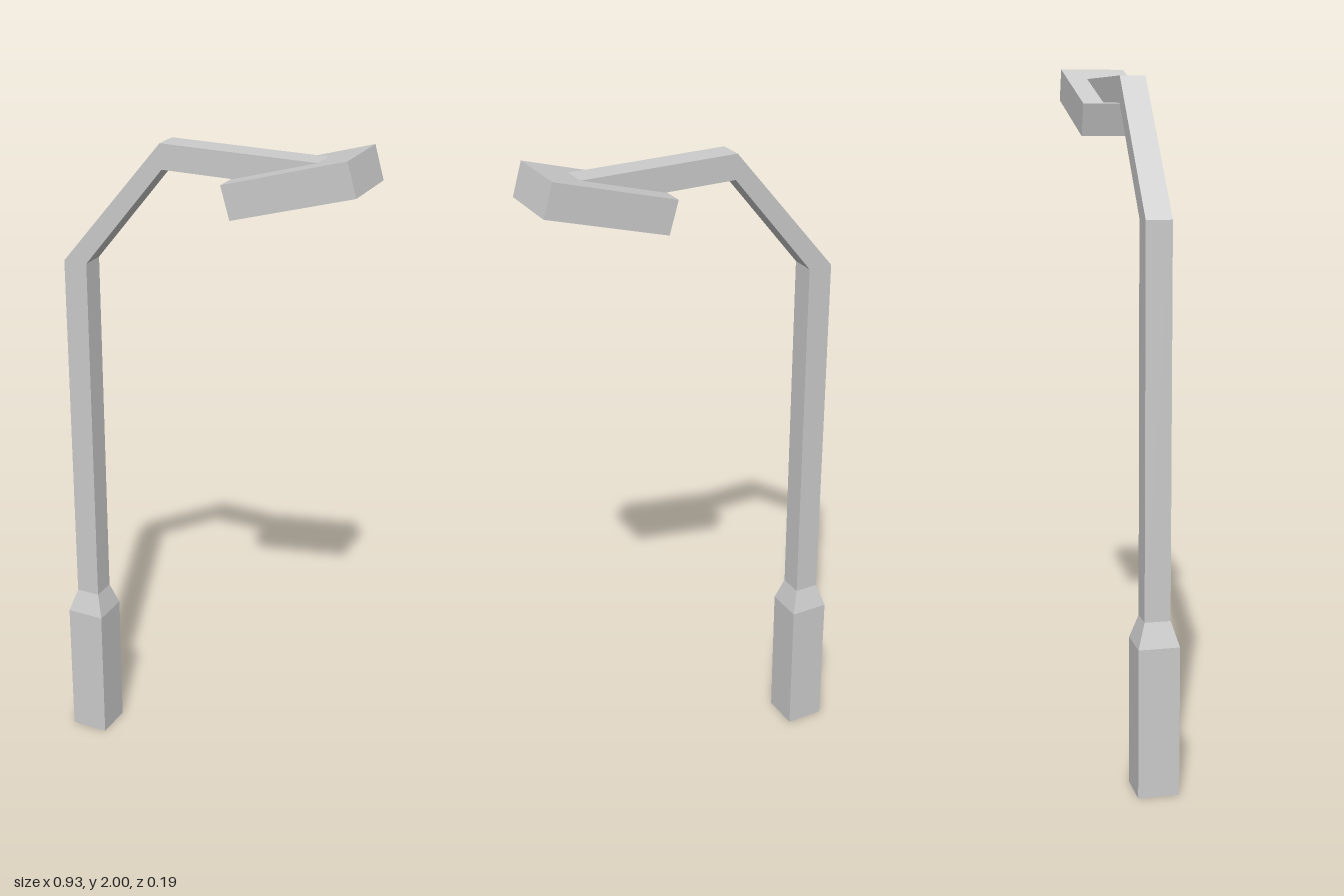
import * as THREE from 'three';

export function createModel() {
  const model = new THREE.Group();
  const material = new THREE.MeshStandardMaterial({
    color: 0xcccccc, flatShading: true, side: THREE.DoubleSide,
  });
  const poleX = -0.409;
  const poleHalf = 0.0365;
  const baseHalf = 0.0585;

  const add = (name, geometry, x = 0, y = 0) => {
    const mesh = new THREE.Mesh(geometry, material);
    mesh.name = name;
    mesh.position.set(x, y, 0);
    model.add(mesh);
    return mesh;
  };

  // Square prism or taper, standing on its origin
  const squarePost = (topHalf, bottomHalf, height, open) =>
    new THREE.CylinderGeometry(topHalf * Math.SQRT2, bottomHalf * Math.SQRT2, height, 4, 1, open)
      .rotateY(Math.PI / 4)
      .translate(0, height / 2, 0);

  // Foot of the post and its tapered shoulder
  add('base', squarePost(baseHalf, baseHalf, 0.43, false), poleX, 0);
  add('baseTaper', squarePost(poleHalf, baseHalf, 0.07, true), poleX, 0.43);

  // Pole, slanted brace and horizontal arm as one bent strip
  const profile = new THREE.Shape([
    [poleX - poleHalf, 0.5], [poleX + poleHalf, 0.5],
    [poleX + poleHalf, 1.593], [-0.125, 1.896],
    [0.365, 1.896], [0.365, 1.968],
    [-0.13, 1.968], [poleX - poleHalf, 1.593],
  ].map(([x, y]) => new THREE.Vector2(x, y)));
  const strip = new THREE.ExtrudeGeometry(profile, { depth: poleHalf * 2, bevelEnabled: false });
  add('poleAndArm', strip.translate(0, 0, -poleHalf));

  // Tilted lamp housing: a thin box without its underside
  const housing = new THREE.BoxGeometry(0.37, 0.097, 0.195);
  const faces = Array.from(housing.index.array);
  faces.splice(18, 6);
  housing.setIndex(faces);
  housing.clearGroups();
  add('lampHousing', housing, 0.2725, 1.9).rotation.z = 0.288;

  return model;
}
